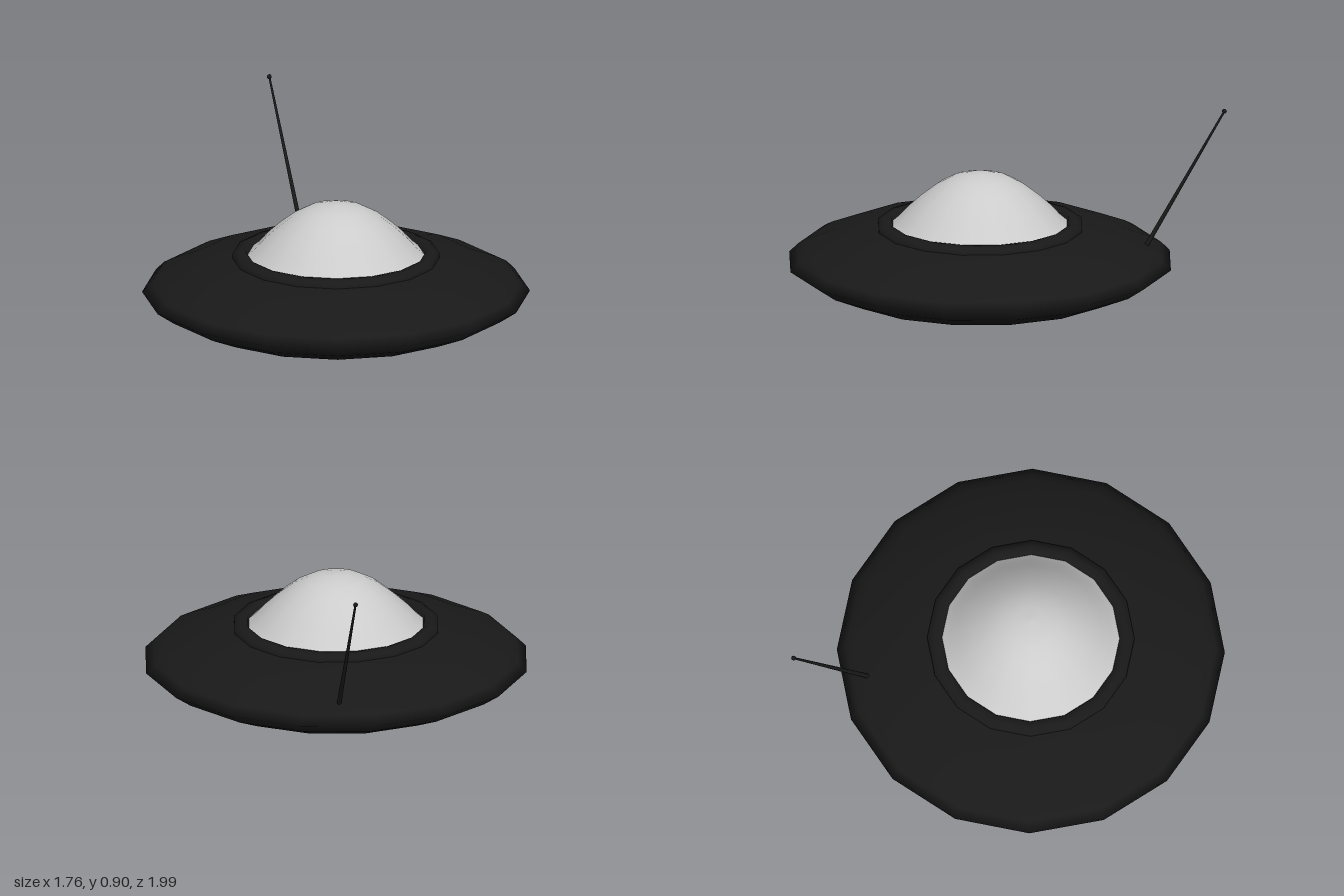
import * as THREE from 'three';

const SIDES = 16;
const dark = new THREE.MeshStandardMaterial({ color: 0x191919 });
const grey = new THREE.MeshStandardMaterial({ color: 0xcccccc });

// Revolved part; the profile runs counter-clockwise as [radius, height]
function lathe(name, profile, material) {
  const points = profile.map(([r, y]) => new THREE.Vector2(r, y));
  const mesh = new THREE.Mesh(new THREE.LatheGeometry(points, SIDES), material);
  mesh.name = name;
  return mesh;
}

export function createModel() {
  const model = new THREE.Group();
  model.name = 'flyingSaucer';

  // Saucer body, set forward to balance the rear antenna
  const saucer = new THREE.Group();
  saucer.name = 'saucer';
  saucer.position.z = 0.115;
  model.add(saucer);

  saucer.add(lathe('hull', [
    [0.245, 0], [0.4, 0.04], [0.65, 0.085], [0.8, 0.15], [0.88, 0.205],
    [0.84, 0.245], [0.8, 0.267], [0.66, 0.325], [0.53, 0.355], [0.4, 0.375],
  ], dark));
  saucer.add(lathe('domeRing', [
    [0.47, 0.355], [0.47, 0.384], [0.44, 0.392], [0.41, 0.395], [0.4, 0.37],
  ], dark));
  saucer.add(lathe('dome', [
    [0.408, 0.372], [0.37, 0.405], [0.33, 0.45], [0.27, 0.505], [0.2, 0.56],
    [0.13, 0.598], [0.065, 0.615], [0, 0.62],
  ], grey));

  // Shallow dished light under the hull
  saucer.add(lathe('bellyLight', [
    [0, 0.045], [0.1, 0.038], [0.18, 0.022], [0.245, 0],
  ], grey));

  // Antenna: tapered rod leaning back, with a ball at the tip
  const base = new THREE.Vector3(0.143, 0.275, -0.627);
  const tip = new THREE.Vector3(0.143, 0.885, -0.988);
  const direction = tip.clone().sub(base);
  const antenna = new THREE.Group();
  antenna.name = 'antenna';
  const rod = new THREE.Mesh(new THREE.CylinderGeometry(0.005, 0.011, direction.length(), 8), dark);
  rod.name = 'antennaRod';
  rod.position.copy(base).lerp(tip, 0.5);
  rod.quaternion.setFromUnitVectors(new THREE.Vector3(0, 1, 0), direction.normalize());
  const ball = new THREE.Mesh(new THREE.SphereGeometry(0.011, 10, 8), dark);
  ball.name = 'antennaTip';
  ball.position.copy(tip);
  antenna.add(rod, ball);
  model.add(antenna);

  return model;
}
